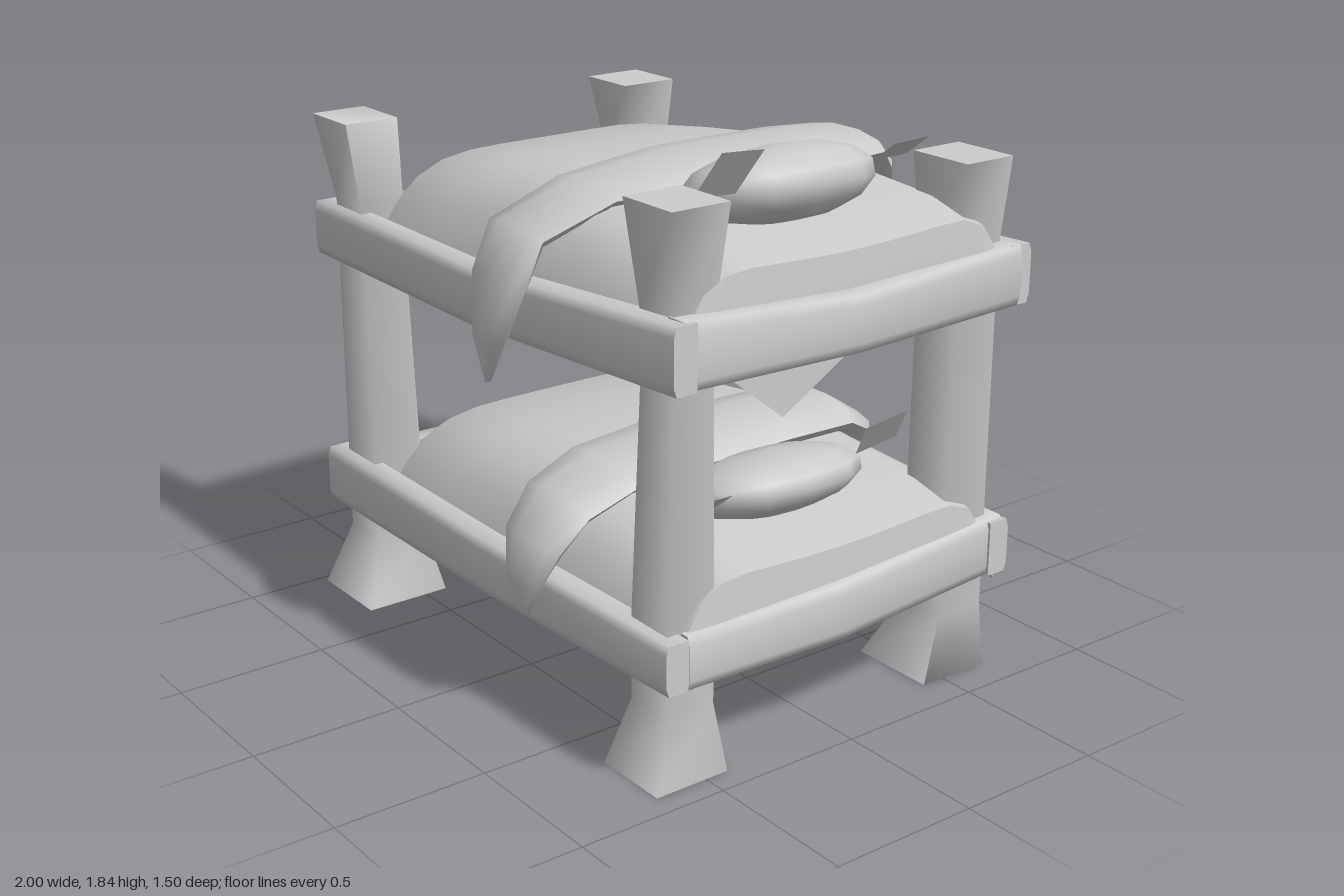
import * as THREE from 'three';
import { toCreasedNormals } from 'three/addons/utils/BufferGeometryUtils.js';

const solid = new THREE.MeshStandardMaterial({ color: 0xcccccc });
const sheet = new THREE.MeshStandardMaterial({ color: 0xcccccc, side: THREE.DoubleSide });

// Skin a list of rings of [x, y, z]; closed rings also get end caps
function loft(rings, closed, crease) {
  const n = rings[0].length, pos = rings.flat(2), idx = [];
  for (let i = 0; i < rings.length - 1; i++) {
    for (let j = 0; j < (closed ? n : n - 1); j++) {
      const a = i * n + j, b = i * n + (j + 1) % n;
      idx.push(a, b, a + n, b, b + n, a + n);
    }
  }
  if (closed) {
    const last = (rings.length - 1) * n;
    for (let j = 1; j < n - 1; j++) idx.push(0, j + 1, j, last, last + j, last + j + 1);
  }
  // Turn the faces outward by the sign of the volume
  const p = (i) => new THREE.Vector3().fromArray(pos, idx[i] * 3);
  let volume = 0;
  for (let i = 0; i < idx.length; i += 3) volume += p(i).dot(p(i + 1).cross(p(i + 2)));
  if (volume < 0) idx.reverse();
  const g = new THREE.BufferGeometry();
  g.setAttribute('position', new THREE.Float32BufferAttribute(pos, 3));
  g.setIndex(idx);
  return toCreasedNormals(g, crease);
}

function add(parent, name, geometry, material = solid) {
  const mesh = new THREE.Mesh(geometry, material);
  mesh.name = name;
  parent.add(mesh);
  return mesh;
}

// Post: levels of [y, x0, x1, z0, z1], softly shaded round the sides, flat at the ends
const post = (levels) => loft(levels.map(([y, x0, x1, z0, z1]) =>
  [[x0, y, z0], [x1, y, z0], [x1, y, z1], [x0, y, z1]]), true, 1.6);

// Rail: stations of [along, yBottom, yTop, outer face], with a bevelled outer side
function rail(stations, alongX, side) {
  return loft(stations.map(([s, y0, y1, out]) => {
    const section = [[out - side * 0.08, y0], [out - side * 0.01, y0], [out, y0 + 0.03],
      [out, y1 - 0.03], [out - side * 0.01, y1], [out - side * 0.08, y1]];
    return section.map(([d, y]) => (alongX ? [s, y, d] : [d, y, s]));
  }), true, 1.3);
}

// Mattress: stations of [x, top, half width]; boxy along the back, rounder towards the front foot corner
function mattress(lift, closed) {
  const base = 1.25 + lift;
  const stations = [[-0.91, 1.3, 0.59], [-0.89, 1.43, 0.6], [-0.8, 1.51, 0.62], [-0.7, 1.56, 0.63],
    [-0.35, 1.61, 0.645], [0, 1.65, 0.66], [0.4, 1.62, 0.66], [0.75, 1.57, 0.65],
    [0.91, 1.53, 0.62], [0.93, 1.3, 0.62]];
  const N = 16;
  return loft(stations.map(([x, top, w]) => {
    const ring = [];
    for (let j = 0; j <= N; j++) {
      const t = Math.sin((j / N - 0.5) * Math.PI);
      const bow = x < -0.75 ? t * t * (t > 0 ? 0.07 : 0.04) : 0;
      const drop = Math.abs(t) ** (t > 0 ? 6 + 2 * x : 10);
      const sag = x > 0.6 ? 0.05 * t * t : 0;
      ring.push([x + bow, base + (top + sag + lift - base) * (1 - drop), t * (t > 0 ? w : w + 0.04)]);
    }
    return ring;
  }), closed, 1);
}

// Blanket: path of [x, y, z, half width, half thickness] from the front tip to the back tip
function blanket(path) {
  return loft(path.map(([x, y, z, w, th], i) => {
    const a = path[Math.max(i - 1, 0)], b = path[Math.min(i + 1, path.length - 1)];
    const dy = b[1] - a[1], dz = b[2] - a[2], len = Math.hypot(dy, dz);
    const ring = [];
    for (let k = 0; k < 10; k++) {
      const q = k / 10 * Math.PI * 2, off = Math.sin(q) * th;
      ring.push([x + Math.cos(q) * w, y - dz / len * off, z + dy / len * off]);
    }
    return ring;
  }), true, 1.1);
}

// Pillow: plump ellipsoid with squared-off corners
function pillow(rx, ry, rz) {
  const g = new THREE.SphereGeometry(1, 12, 7), p = g.attributes.position;
  for (let i = 0; i < p.count; i++) {
    const sq = (v) => Math.sign(v) * Math.abs(v) ** 0.9;
    p.setXYZ(i, sq(p.getX(i)) * rx, p.getY(i) * ry, sq(p.getZ(i)) * rz);
  }
  g.computeVertexNormals();
  return g;
}

export function createModel() {
  const model = new THREE.Group();
  model.name = 'bunkBed';

  // Posts: foot, shaft bottom, shaft top and head boxes [x0, x1, z0, z1], then the height
  const posts = [
    ['frontRightPost', [-0.97, -0.66, 0.42, 0.72], [-0.89, -0.71, 0.47, 0.65], [-0.87, -0.71, 0.5, 0.66], [-0.93, -0.71, 0.51, 0.7], 1.7],
    ['backRightPost', [-1, -0.71, -0.66, -0.37], [-0.9, -0.73, -0.62, -0.45], [-0.88, -0.73, -0.6, -0.45], [-0.93, -0.71, -0.62, -0.41], 1.69],
    ['frontLeftPost', [0.66, 0.92, 0.42, 0.68], [0.73, 0.9, 0.46, 0.63], [0.75, 0.9, 0.47, 0.61], [0.71, 0.93, 0.44, 0.64], 1.75],
    ['backLeftPost', [0.58, 0.88, -0.68, -0.42], [0.72, 0.89, -0.64, -0.46], [0.7, 0.87, -0.66, -0.49], [0.67, 0.9, -0.67, -0.48], 1.71],
  ];
  for (const [name, foot, low, high, head, top] of posts) {
    add(model, name, post([[0.01, ...foot], [0.24, ...low], [0.5, ...low],
      [1.25, ...high], [1.42, ...high], [top, ...head]]));
  }

  // Rails, slightly bowed outward
  const rails = [
    ['upperFrontRail', true, 1, [[-0.95, 1.22, 1.4, 0.7], [0, 1.21, 1.39, 0.7], [0.98, 1.25, 1.45, 0.67]]],
    ['upperBackRail', true, -1, [[-0.93, 1.22, 1.4, -0.65], [0, 1.23, 1.41, -0.72], [0.94, 1.25, 1.44, -0.73]]],
    ['upperFootRail', false, -1, [[-0.62, 1.21, 1.4, -0.91], [0, 1.2, 1.38, -0.96], [0.64, 1.22, 1.4, -0.91]]],
    ['upperHeadRail', false, 1, [[-0.68, 1.25, 1.44, 0.95], [0, 1.25, 1.42, 1], [0.62, 1.25, 1.45, 0.97]]],
    ['lowerFrontRail', true, 1, [[-0.95, 0.33, 0.52, 0.7], [0, 0.33, 0.51, 0.7], [0.95, 0.34, 0.5, 0.67]]],
    ['lowerBackRail', true, -1, [[-0.93, 0.34, 0.52, -0.66], [0, 0.34, 0.5, -0.7], [0.94, 0.36, 0.54, -0.7]]],
    ['lowerFootRail', false, -1, [[-0.64, 0.34, 0.52, -0.92], [0, 0.33, 0.5, -0.95], [0.64, 0.33, 0.51, -0.92]]],
    ['lowerHeadRail', false, 1, [[-0.68, 0.36, 0.55, 0.93], [0, 0.33, 0.51, 0.96], [0.58, 0.33, 0.5, 0.94]]],
  ];
  for (const [name, alongX, side, stations] of rails) add(model, name, rail(stations, alongX, side));

  // Mattresses; the lower one is an open shell underneath
  add(model, 'upperMattress', mattress(0, true), sheet);
  add(model, 'lowerMattress', mattress(-0.915, false), sheet);

  // Blankets draped across the beds
  add(model, 'upperBlanket', blanket([
    [0.1, 1.06, 0.7, 0.01, 0.01], [0.13, 1.2, 0.71, 0.08, 0.03], [0.18, 1.4, 0.7, 0.14, 0.04],
    [0.15, 1.52, 0.62, 0.14, 0.05], [0.22, 1.63, 0.42, 0.16, 0.04], [0.25, 1.65, 0.25, 0.2, 0.04],
    [0.22, 1.66, 0.05, 0.2, 0.04], [0.25, 1.67, -0.15, 0.2, 0.04], [0.3, 1.67, -0.36, 0.23, 0.05],
    [0.28, 1.66, -0.54, 0.2, 0.05], [0.24, 1.57, -0.67, 0.14, 0.05],
    [0.22, 1.42, -0.72, 0.11, 0.03], [0.22, 1.27, -0.73, 0.04, 0.01]]));
  add(model, 'lowerBlanket', blanket([
    [0.3, 0.37, 0.71, 0.01, 0.01], [0.3, 0.47, 0.72, 0.08, 0.03], [0.3, 0.6, 0.68, 0.14, 0.05],
    [0.27, 0.69, 0.57, 0.17, 0.05], [0.24, 0.74, 0.38, 0.19, 0.05], [0.24, 0.76, 0.1, 0.2, 0.05],
    [0.25, 0.77, -0.2, 0.2, 0.06], [0.24, 0.76, -0.48, 0.2, 0.06], [0.18, 0.66, -0.66, 0.15, 0.05],
    [0.16, 0.5, -0.71, 0.12, 0.03], [0.15, 0.33, -0.72, 0.09, 0.03], [0.14, 0.13, -0.7, 0.01, 0.01]]));

  // Pillows, tilted up towards the head end
  const upperPillow = add(model, 'upperPillow', pillow(0.225, 0.12, 0.325));
  upperPillow.position.set(0.59, 1.66, -0.01);
  upperPillow.rotation.z = 0.3;
  const lowerPillow = add(model, 'lowerPillow', pillow(0.215, 0.1, 0.315));
  lowerPillow.position.set(0.6, 0.73, 0);
  lowerPillow.rotation.z = 0.28;

  // Small thin cloth squares at the pillow ends: position, size along the slope and z, slope, twist
  const patches = [
    [0.77, 1.775, 0.32, 0.18, 0.16, 0.95, 0.1], [0.77, 1.755, -0.33, 0.13, 0.13, 0.6, -0.1],
    [0.7, 0.755, 0.34, 0.13, 0.13, 0.7, 0.05], [0.78, 0.875, -0.285, 0.15, 0.15, 0.95, -0.25],
  ];
  for (const [x, y, z, l, w, slope, twist] of patches) {
    const patch = add(model, 'clothSquare', new THREE.PlaneGeometry(l, w).rotateX(-Math.PI / 2), sheet);
    patch.position.set(x, y, z);
    patch.rotation.set(0, twist, slope, 'ZYX');
  }

  // Torn cloth triangles hanging under the upper bed
  const tatters = [
    [-0.7, 0.36, -0.57, -0.2, -0.63, 1.02, 0.1],
    [-0.17, 0.15, -0.13, -0.44, -0.15, 0.97, -0.17],
    [0.62, 0.37, 0.68, -0.45, 0.65, 0.95, 0],
  ];
  for (const [x0, z0, x1, z1, tx, ty, tz] of tatters) {
    const g = new THREE.BufferGeometry();
    g.setAttribute('position', new THREE.Float32BufferAttribute(
      [x0, 1.25, z0, x1, 1.25, z1, tx, ty, tz], 3));
    g.computeVertexNormals();
    add(model, 'hangingTatter', g, sheet);
  }
  return model;
}
